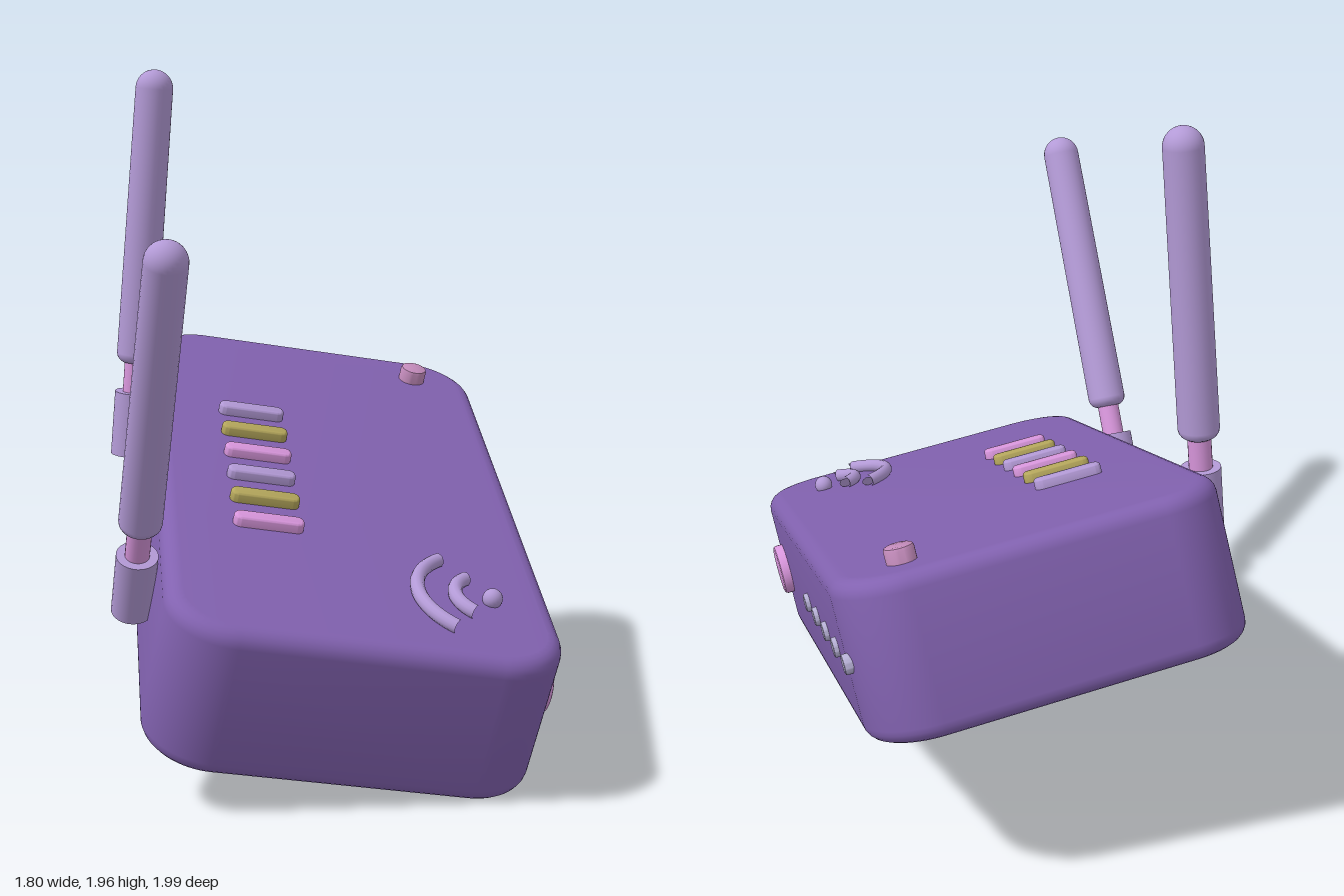
import * as THREE from 'three';
import { toCreasedNormals } from 'three/addons/utils/BufferGeometryUtils.js';

const mat = (color) => new THREE.MeshStandardMaterial({ color });
const purple = mat(0x8262b0), lilac = mat(0xb39ad6), pink = mat(0xd896dc);
const yellow = mat(0xb5a75c), rose = mat(0xc48cbc), pale = mat(0xb4aed2);

function add(parent, name, geometry, material, x = 0, y = 0, z = 0) {
  const mesh = new THREE.Mesh(geometry, material);
  mesh.name = name;
  mesh.position.set(x, y, z);
  parent.add(mesh);
  return mesh;
}

// Rounded slab lying in the xz plane, centred, with softened top and bottom edges
function slab(w, d, h, radius, bevel, segments) {
  const x = w / 2 - bevel, y = d / 2 - bevel, r = radius - bevel;
  const s = new THREE.Shape();
  s.absarc(x - r, y - r, r, 0, Math.PI / 2);
  s.absarc(-x + r, y - r, r, Math.PI / 2, Math.PI);
  s.absarc(-x + r, -y + r, r, Math.PI, Math.PI * 1.5);
  s.absarc(x - r, -y + r, r, Math.PI * 1.5, Math.PI * 2);
  const geo = new THREE.ExtrudeGeometry(s, {
    depth: h - 2 * bevel, bevelSize: bevel, bevelThickness: bevel,
    bevelSegments: 5, curveSegments: segments,
  });
  geo.translate(0, 0, -h / 2 + bevel).rotateX(-Math.PI / 2);
  return toCreasedNormals(geo, 0.6);
}

// Disc with a slightly rounded rim, axis along y
function disc(radius, height, edge) {
  const h = height / 2;
  const pts = [[0, -h], [radius, -h], [radius, h - edge], [radius - edge * 0.3, h - edge * 0.3], [radius - edge, h], [0, h]];
  return toCreasedNormals(new THREE.LatheGeometry(pts.map((p) => new THREE.Vector2(...p)), 32), 0.6);
}

// Antenna along its own y axis: mount, neck and round-ended rod
function antenna(name, from, to) {
  const g = new THREE.Group();
  g.name = name;
  const a = new THREE.Vector3(...from), dir = new THREE.Vector3(...to).sub(a);
  const len = dir.length();
  g.position.copy(a);
  g.quaternion.setFromUnitVectors(new THREE.Vector3(0, 1, 0), dir.normalize());

  const profile = [new THREE.Vector2(0, -0.055), new THREE.Vector2(0.03, -0.053)];
  for (let i = 0; i <= 4; i++) {
    const t = (i / 4) * Math.PI / 2;
    profile.push(new THREE.Vector2(0.03 + 0.03 * Math.sin(t), -0.023 - 0.03 * Math.cos(t)));
  }
  for (let i = 0; i <= 10; i++) {
    const t = (i / 10) * Math.PI / 2;
    profile.push(new THREE.Vector2(0.057 * Math.cos(t), len + 0.057 * Math.sin(t)));
  }
  profile.splice(1, 1);
  add(g, 'antennaRod', new THREE.LatheGeometry(profile, 28), lilac);
  add(g, 'antennaNeck', new THREE.CylinderGeometry(0.034, 0.034, 0.13, 24), pink, 0, -0.1, 0);
  add(g, 'antennaMount', new THREE.CylinderGeometry(0.058, 0.058, 0.2, 28), lilac, 0, -0.245, 0);
  return g;
}

export function createModel() {
  const root = new THREE.Group();
  const W = 1.08, L = 1.825, T = 0.452, top = T / 2, side = W / 2;

  // Tilted, turned housing; its fittings are placed in its own frame
  const box = new THREE.Group();
  box.name = 'housing';
  box.position.set(0.057, 0.55, 0);
  box.rotation.set(0.36, -0.461, 0);
  root.add(box);
  add(box, 'body', slab(W, L, T, 0.19, 0.045, 12), purple);

  // Row of indicator bars
  const barGeo = slab(0.2, 0.05, 0.05, 0.022, 0.01, 6);
  [lilac, yellow, pink, lilac, yellow, pink].forEach((m, i) => {
    add(box, 'indicatorBar', barGeo, m, -0.238, top + 0.005, -0.335 + i * 0.135);
  });

  // Power button on top
  add(box, 'topButton', disc(0.042, 0.06, 0.01), rose, 0.338, top + 0.015, -0.757);

  // Signal symbol: a dot with two arcs
  const dotX = 0.36, dotZ = 0.61;
  add(box, 'signalDot', new THREE.SphereGeometry(0.028, 20, 14), lilac, dotX, top + 0.014, dotZ);
  const sweep = 1.85;
  for (const r of [0.105, 0.21]) {
    const arc = new THREE.Group();
    arc.name = 'signalArc';
    arc.position.set(dotX, top + 0.016, dotZ);
    box.add(arc);
    const geo = new THREE.TorusGeometry(r, 0.02, 12, 28, sweep);
    geo.rotateZ(Math.PI - sweep / 2).rotateX(-Math.PI / 2);
    add(arc, 'signalArcStroke', geo, lilac);
    // Flat end caps
    for (const s of [-1, 1]) {
      const t = Math.PI + s * sweep / 2;
      const cap = add(arc, 'signalArcEnd', new THREE.CircleGeometry(0.02, 12), lilac, r * Math.cos(t), 0, -r * Math.sin(t));
      cap.lookAt(cap.position.x - s * Math.sin(t), 0, cap.position.z - s * Math.cos(t));
    }
  }

  // Large round button and small ports on the side wall
  add(box, 'sideButton', disc(0.08, 0.06, 0.01), pink, side, 0, 0.632).rotation.z = -Math.PI / 2;
  const portGeo = disc(0.028, 0.03, 0.006);
  for (let i = 0; i < 5; i++) {
    add(box, 'sidePort', portGeo, pale, side, 0, 0.061 - i * 0.204).rotation.z = -Math.PI / 2;
  }

  // Two antennas beside the opposite wall
  root.add(antenna('backAntenna', [-0.26, 1.11, -0.56], [-0.227, 1.9, -0.49]));
  root.add(antenna('frontAntenna', [-0.72, 0.775, 0.284], [-0.845, 1.475, 0.648]));
  return root;
}
